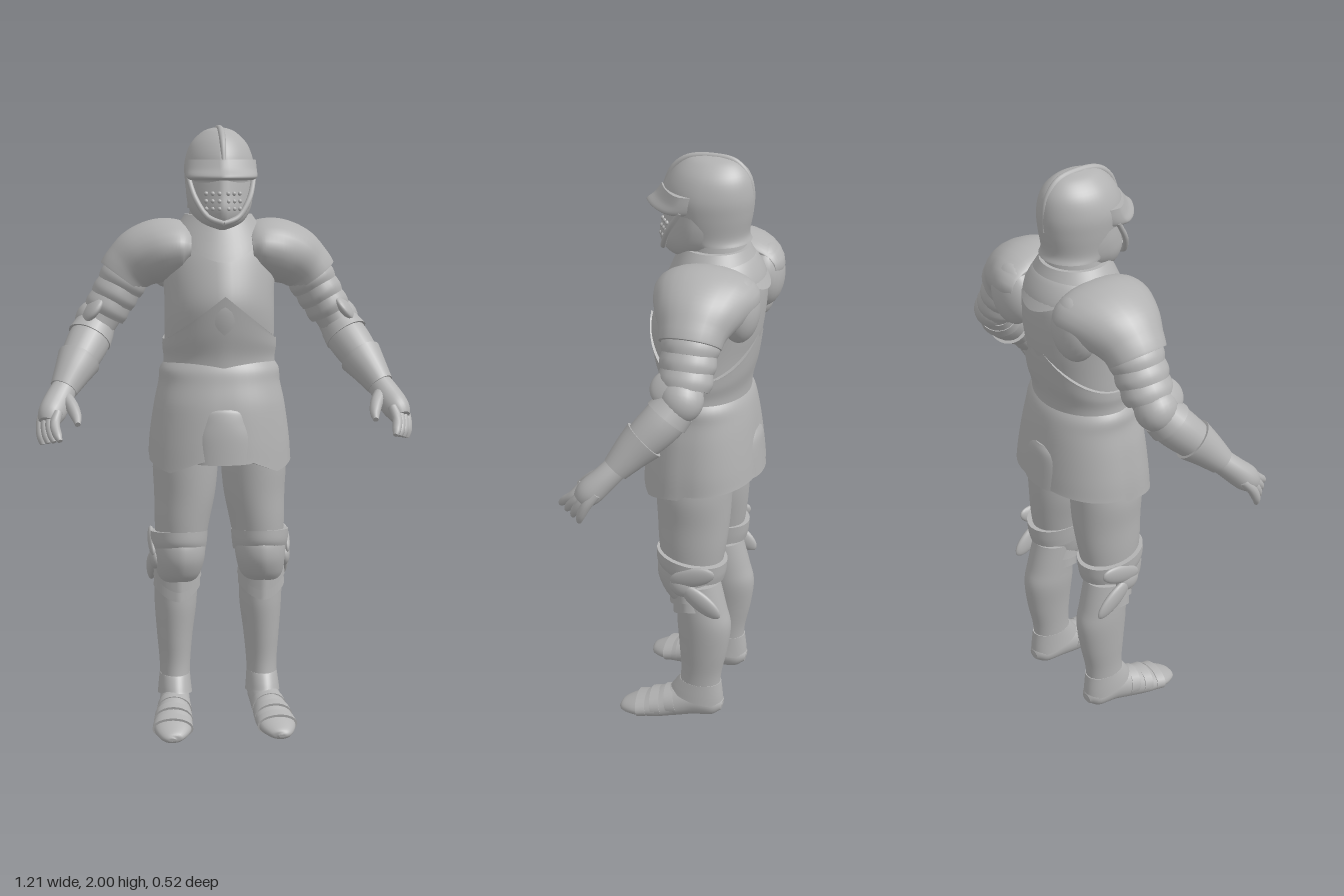
import * as THREE from 'three';

const steel = new THREE.MeshStandardMaterial({ color: 0xb2b2b2, side: THREE.DoubleSide });
steel.name = 'steel';

// Smooth interpolation through rows of numbers
function sample(rows, t) {
  const f = t * (rows.length - 1), i = Math.min(Math.floor(f), rows.length - 2), u = f - i;
  const at = (k) => rows[Math.max(0, Math.min(rows.length - 1, k))];
  return rows[i].map((b, k) => {
    const a = at(i - 1)[k], c = at(i + 1)[k], d = at(i + 2)[k];
    return b + 0.5 * u * (c - a + u * (2 * a - 5 * b + 4 * c - d + u * (3 * (b - c) + d - a)));
  });
}

// Closed skin over a list of rings, with separate end caps
function skin(rings) {
  const n = rings[0].length, pos = [], idx = [];
  rings.forEach((r) => r.forEach((p) => pos.push(p.x, p.y, p.z)));
  for (let i = 0; i < rings.length - 1; i++) for (let j = 0; j < n; j++) {
    const a = i * n + j, d = i * n + (j + 1) % n;
    idx.push(a, a + n, d, a + n, d + n, d);
  }
  [rings[0], rings[rings.length - 1]].forEach((r, end) => {
    const s = pos.length / 3, c = new THREE.Vector3();
    r.forEach((p) => { pos.push(p.x, p.y, p.z); c.addScaledVector(p, 1 / n); });
    pos.push(c.x, c.y, c.z);
    for (let j = 0; j < n; j++) {
      const k = s + (j + 1) % n;
      if (end) idx.push(s + n, k, s + j); else idx.push(s + n, s + j, k);
    }
  });
  const g = new THREE.BufferGeometry();
  g.setAttribute('position', new THREE.Float32BufferAttribute(pos, 3));
  g.setIndex(idx);
  g.computeVertexNormals();
  return g;
}

function add(parent, name, geometry) {
  const m = new THREE.Mesh(geometry, steel);
  m.name = name;
  parent.add(m);
  return m;
}

// Upright plate: rows [y, x0, x1, zBack, zFront]; keel sharpens the front
function body(parent, name, rows, { keel = 0, warp, n = 48 } = {}) {
  const steps = (rows.length - 1) * 5, rings = [];
  for (let i = 0; i <= steps; i++) {
    const [y, x0, x1, zb, zf] = sample(rows, i / steps), ring = [];
    for (let j = 0; j < n; j++) {
      const a = j / n * Math.PI * 2, c = Math.cos(a), s = Math.sin(a);
      const zz = s > 0 ? (1 - keel) * s + keel * (1 - Math.abs(c)) : s;
      const p = new THREE.Vector3((x0 + x1) / 2 + (x1 - x0) / 2 * c, y, (zb + zf) / 2 + (zf - zb) / 2 * zz);
      if (warp) warp(p, s, i / steps, c);
      ring.push(p);
    }
    rings.push(ring);
  }
  return add(parent, name, skin(rings));
}
// Same, but centred on x = 0: rows [y, halfWidth, zBack, zFront]
const centred = (parent, name, rows, o) =>
  body(parent, name, rows.map(([y, w, b, f]) => [y, -w, w, b, f]), o);

// Plate along a path: points [x, y, z, radius across, radius along ref]
function tube(parent, name, pts, ref = [0, 0, 1], n = 24) {
  const steps = (pts.length - 1) * 5, rings = [];
  const at = (t) => new THREE.Vector3(...sample(pts, t).slice(0, 3));
  for (let i = 0; i <= steps; i++) {
    const t = i / steps, c = at(t), [, , , ra, rb] = sample(pts, t);
    const T = at(Math.min(1, t + 0.01)).sub(at(Math.max(0, t - 0.01))).normalize();
    const w = new THREE.Vector3(...ref);
    w.addScaledVector(T, -w.dot(T)).normalize();
    const u = T.clone().cross(w), ring = [];
    for (let j = 0; j < n; j++) {
      const a = j / n * Math.PI * 2;
      ring.push(c.clone().addScaledVector(u, ra * Math.cos(a)).addScaledVector(w, rb * Math.sin(a)));
    }
    rings.push(ring);
  }
  return add(parent, name, skin(rings));
}

function blob(parent, name, [x, y, z], [sx, sy, sz], rx = 0, rz = 0) {
  const m = add(parent, name, new THREE.SphereGeometry(1, 24, 16));
  m.position.set(x, y, z);
  m.scale.set(sx, sy, sz);
  m.rotation.set(rx, 0, rz);
}

function helmet(g) {
  centred(g, 'skull', [[1.735, .102, -.195, .02], [1.76, .102, -.188, .05], [1.82, .11, -.198, .078], [1.88, .112, -.202, .088],
    [1.94, .092, -.188, .056], [1.98, .052, -.15, .01], [1.993, .015, -.1, -.04]], { keel: .2 });
  tube(g, 'comb', [[0, 1.87, .088, .006, .006], [0, 1.94, .056, .01, .01], [0, 1.98, .005, .011, .011], [0, 1.99, -.07, .011, .01],
    [0, 1.978, -.145, .011, .01], [0, 1.92, -.19, .009, .009], [0, 1.83, -.198, .004, .004]], [1, 0, 0], 12);
  centred(g, 'bevor', [[1.668, .03, -.03, .05], [1.69, .07, -.1, .085], [1.73, .098, -.16, .1], [1.78, .108, -.17, .09],
    [1.83, .108, -.17, .08]], { keel: .35 });
  centred(g, 'browPlate', [[1.825, .1, -.08, .125], [1.835, .114, -.09, .142], [1.86, .115, -.1, .115], [1.89, .113, -.1, .092]],
    { keel: .5 });
  // Breathing studs on the face plate
  for (const s of [-1, 1]) for (let r = 0; r < 3; r++) for (let k = 0; k < 3; k++)
    blob(g, 'faceStud', [s * (.014 + k * .02), 1.735 + r * .024, .09 - k * .013 - r * .003], [.007, .007, .007]);
  // Cheek bands
  for (const s of [-1, 1])
    tube(g, 'cheekBand', [[s * .107, 1.84, .0, .008, .008], [s * .088, 1.77, .045, .009, .009], [s * .05, 1.71, .072, .009, .009],
      [0, 1.69, .085, .009, .009]], [0, 0, 1], 10);
}

function trunk(g) {
  centred(g, 'neckGuard', [[1.6, .11, -.2, .02], [1.68, .1, -.185, .015], [1.76, .09, -.17, .0]]);
  centred(g, 'breastAndBackPlate', [[1.2, .185, -.19, .085], [1.24, .178, -.19, .085], [1.3, .18, -.205, .1], [1.38, .18, -.22, .122],
    [1.45, .18, -.235, .124], [1.55, .185, -.245, .092], [1.62, .175, -.24, .062], [1.68, .13, -.21, .03], [1.7, .09, -.18, 0]],
    { keel: .12 });
  // Waist plate with a chevron top edge, front and back
  centred(g, 'waistPlate', [[1.2, .188, -.198, .09], [1.26, .184, -.202, .094], [1.33, .188, -.22, .114], [1.41, .187, -.233, .131]],
    { keel: .12, warp: (p, s, t, c) => { p.y += t * t * (.05 - .15 * Math.abs(c)); } });
  // Collar hanging lower at the front and back
  centred(g, 'collar', [[1.64, .155, -.235, .065], [1.67, .14, -.215, .048], [1.715, .11, -.19, .025]],
    { warp: (p, s, t) => {
      p.y -= (1 - t) * (s > 0 ? .075 * s ** 3 : .05 * s ** 4);
      p.z += (1 - t) * .022 * s ** 3;
    } });
  centred(g, 'skirt', [[.93, .232, -.24, .135], [1, .228, -.236, .13], [1.1, .214, -.227, .12], [1.17, .2, -.217, .105],
    [1.215, .196, -.205, .095], [1.25, .172, -.185, .078]],
    { warp: (p, s, t, c) => {
      const low = Math.max(0, 1 - t * 2.5);
      if (s > 0) p.y -= low * .045 * Math.max(0, 1 - Math.abs(Math.abs(c) - .72) * 2.4);
      else p.y += low * .02 * -s;
      // squarer corners
      const q = 1 + .07 * Math.abs(2 * s * c) * (1 - t);
      p.x *= q; p.z = -.05 + (p.z + .05) * q;
    } });
  centred(g, 'frontTab', [[.918, .092, .06, .148], [1, .09, .06, .144], [1.05, .078, .06, .138], [1.085, .07, .06, .13], [1.095, .05, .06, .124]]);
  centred(g, 'backTab', [[.945, .09, -.252, -.17], [1.02, .088, -.246, -.17], [1.07, .075, -.241, -.17], [1.095, .05, -.232, -.17]]);
}

function leg(g) {
  body(g, 'thighPlate', [[.58, .058, .21, -.14, .05], [.7, .035, .217, -.16, .065], [.8, .015, .218, -.17, .072], [.9, .006, .222, -.175, .078],
    [.99, .006, .21, -.18, .08]]);
  body(g, 'greave', [[.1, .1, .2, -.15, 0], [.2, .097, .2, -.155, -.015], [.3, .088, .208, -.175, -.01], [.4, .075, .215, -.186, -.002],
    [.47, .072, .216, -.17, 0], [.57, .068, .212, -.145, .02]]);
  body(g, 'ankleFlare', [[.1, .092, .208, -.165, .025], [.13, .095, .205, -.162, .012], [.17, .098, .2, -.156, -.01]],
    { warp: (p, s, t) => { p.y += (1 - t) * .02 * s; } });
  // Knee: cap, band and two pointed lames
  body(g, 'kneeCap', [[.5, .085, .2, -.08, .02], [.53, .066, .212, -.11, .048], [.58, .053, .219, -.12, .069], [.63, .05, .221, -.13, .068],
    [.665, .06, .215, -.13, .05]], { keel: .1 });
  body(g, 'kneeBand', [[.6, .047, .224, -.158, .056], [.63, .043, .23, -.165, .07], [.668, .04, .232, -.168, .07]],
    { warp: (p, s) => { p.y += .015 * s; } });
  [.465, .5].forEach((y, k) => body(g, 'kneeLame', [[y, .064 - k * .003, .222, -.13, .016 + k * .012], [y + .06, .066, .217, -.12, .014 + k * .015]],
    { keel: .3, warp: (p, s, t) => { p.y -= (1 - t) * .045 * Math.max(0, s) ** 2 - .015 * (1 - t); } }));
  blob(g, 'kneeWingLower', [.225, .535, -.105], [.016, .036, .082], -.65, -.1);
  blob(g, 'kneeWingUpper', [.224, .625, -.075], [.015, .036, .08], .35, -.1);
  blob(g, 'kneeBoss', [.215, .58, -.04], [.022, .04, .045]);
  // Foot
  tube(g, 'shoe', [[.15, .075, -.162, .02, .02], [.15, .08, -.13, .044, .045], [.152, .082, -.05, .05, .06], [.16, .064, .02, .056, .056],
    [.168, .047, .08, .064, .044], [.175, .034, .14, .06, .03], [.18, .024, .185, .036, .018], [.18, .022, .197, .01, .006]], [0, 1, 0]);
  [[.158, .07, .0, .056, .055], [.165, .055, .05, .062, .05], [.171, .042, .1, .065, .04]].forEach(([x, y, z, a, b]) =>
    tube(g, 'shoeLame', [[x, y + .002, z, a, b], [x + .003, y - .004, z + .032, a + .003, b - .002]], [0, 1, 0]));
}

function arm(g) {
  tube(g, 'shoulderPlate', [[.1, 1.605, -.1, .07, .15], [.135, 1.607, -.1, .092, .165], [.19, 1.598, -.098, .103, .158], [.25, 1.575, -.098, .1, .133],
    [.295, 1.54, -.098, .088, .106], [.318, 1.51, -.098, .083, .097]]);
  blob(g, 'shoulderBackWing', [.15, 1.57, -.205], [.085, .105, .06]);
  // Overlapping upper arm lames
  for (let k = 0; k < 3; k++) {
    const x = .295 + k * .026, y = 1.53 - k * .044, r = .074 - k * .003;
    tube(g, 'upperArmLame', [[x, y, -.098, r, r + .012], [x + .018, y - .03, -.098, r + .006, r + .017], [x + .03, y - .052, -.098, r + .002, r + .008]]);
  }
  tube(g, 'upperArm', [[.3, 1.52, -.098, .066, .075], [.36, 1.42, -.095, .062, .07], [.4, 1.355, -.085, .058, .065]]);
  // Elbow
  blob(g, 'elbowCap', [.405, 1.37, -.098], [.066, .07, .068], 0, .5);
  blob(g, 'elbowWing', [.415, 1.41, -.06], [.02, .055, .06], .3, .7);
  // Forearm and flared glove cuff
  tube(g, 'forearm', [[.39, 1.37, -.1, .058, .058], [.43, 1.305, -.05, .069, .066], [.47, 1.24, .01, .06, .058], [.51, 1.175, .068, .044, .042]]);
  tube(g, 'elbowLame', [[.408, 1.345, -.08, .068, .066], [.426, 1.315, -.058, .074, .071]]);
  tube(g, 'gloveCuff', [[.463, 1.25, .0, .072, .069], [.485, 1.215, .033, .06, .058], [.515, 1.165, .075, .045, .043]]);
  // Hand
  tube(g, 'palm', [[.508, 1.175, .067, .04, .038], [.535, 1.13, .11, .045, .04], [.556, 1.095, .145, .043, .042], [.565, 1.07, .165, .032, .032]]);
  for (let k = 0; k < 4; k++) {
    const f = k / 3, x = .585 - .042 * f, z = .13 + .058 * f;
    tube(g, 'finger', [[x - .008, 1.105, z - .015, .015, .015], [x + .003, 1.07, z + .012, .016, .016],
      [x + .005 - .01 * f, 1.03 + .01 * f, z + .032 + .015 * f, .014, .014], [x - .012 * f, 1.003 + .022 * f, z + .04 + .022 * f, .008, .008]], [0, 0, 1], 12);
  }
  tube(g, 'thumb', [[.515, 1.15, .1, .02, .02], [.492, 1.12, .14, .021, .021], [.478, 1.09, .18, .017, .017], [.475, 1.07, .21, .009, .009]], [0, 0, 1], 12);
}

export function createModel() {
  const model = new THREE.Group();
  model.name = 'suitOfArmour';
  const part = (name, build, mirror = 1) => {
    const g = new THREE.Group();
    g.name = name;
    g.scale.x = mirror;
    build(g);
    model.add(g);
  };
  part('helmet', helmet);
  part('trunk', trunk);
  for (const [side, s] of [['left', 1], ['right', -1]]) {
    part(side + 'Leg', leg, s);
    part(side + 'Arm', arm, s);
  }
  return model;
}
